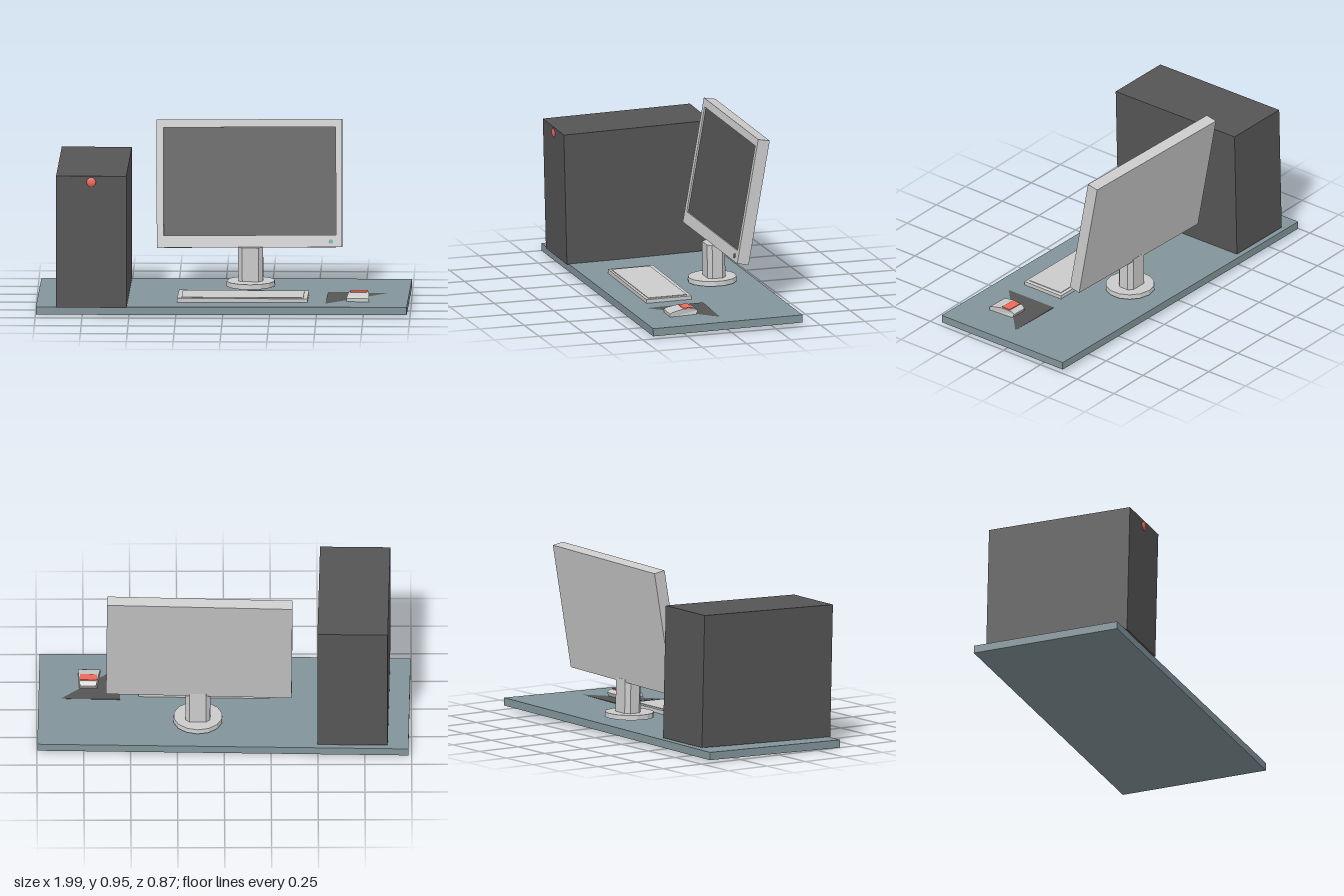
import * as THREE from 'three';

const material = (color) => new THREE.MeshStandardMaterial({ color, flatShading: true });
const GREY = material(0xcccccc);
const DARK = material(0x555555);
const DESK = material(0x82959b);
const RED = material(0xee6a5a);
const BLUE = material(0x6fa3b8);

// The whole desk set stands very slightly askew
const LEAN = [0.015, -0.018, 0.005];

function add(parent, name, geometry, mat, position, rotation = [0, 0, 0]) {
  const mesh = new THREE.Mesh(geometry, mat);
  mesh.name = name;
  mesh.position.set(...position);
  mesh.rotation.set(...rotation, 'YXZ');
  parent.add(mesh);
  return mesh;
}

function subgroup(parent, name, position, rotation = LEAN) {
  const group = new THREE.Group();
  group.name = name;
  group.position.set(...position);
  group.rotation.set(...rotation, 'YXZ');
  parent.add(group);
  return group;
}

const box = (w, h, d) => new THREE.BoxGeometry(w, h, d);

function polygon(points) {
  return new THREE.Shape(points.map(([x, y]) => new THREE.Vector2(x, y)));
}

function rectangle(x0, y0, x1, y1) {
  return polygon([[x0, y0], [x1, y0], [x1, y1], [x0, y1]]);
}

function extrude(shape, depth) {
  return new THREE.ExtrudeGeometry(shape, { depth, bevelEnabled: false });
}

// Computer case with a round power button
function buildTower(root) {
  const tower = subgroup(root, 'tower', [-0.693, 0.407, 0.013], [0.024, -0.02, 0]);
  add(tower, 'towerCase', box(0.375, 0.715, 0.822), DARK, [0, 0, 0]);
  const button = add(tower, 'powerButton', new THREE.SphereGeometry(0.025, 14, 8), RED, [0, 0.325, 0.411]);
  button.scale.z = 0.3;
}

// Tilted screen: back slab, bezel with opening, recessed panel
function buildMonitor(root) {
  const monitor = subgroup(root, 'monitor', [0.132, 0.6, -0.261], [-0.176, -0.028, 0.011]);
  const w = 0.495, h = 0.342;
  add(monitor, 'monitorBack', box(2 * w, 2 * h, 0.053), GREY, [0, 0, -0.006]);
  const bezel = rectangle(-w, -h, w, h);
  bezel.holes.push(rectangle(-0.458, -0.277, 0.462, 0.3));
  add(monitor, 'bezel', extrude(bezel, 0.012), GREY, [0, 0, 0.0205]);
  add(monitor, 'screen', box(0.92, 0.577, 0.004), DARK, [0.002, 0.0115, 0.022]);
  const button = new THREE.CylinderGeometry(0.012, 0.012, 0.008, 10).rotateX(Math.PI / 2);
  add(monitor, 'screenButton', button, BLUE, [0.435, -0.312, 0.034]);
}

// Round foot and chamfered neck
function buildStand(root) {
  const stand = subgroup(root, 'stand', [0.14, 0.052, -0.18]);
  add(stand, 'standPad', new THREE.CylinderGeometry(0.05, 0.05, 0.02, 12), GREY, [0, 0.01, 0]);
  add(stand, 'standBase', new THREE.CylinderGeometry(0.131, 0.133, 0.026, 14), GREY, [0, 0.024, 0]);
  const a = 0.066, b = 0.05, c = 0.022;
  const section = polygon([
    [-a, -b + c], [-a + c, -b], [a - c, -b], [a, -b + c],
    [a, b - c], [a - c, b], [-a + c, b], [-a, b - c],
  ]);
  add(stand, 'standNeck', extrude(section, 0.19).rotateX(-Math.PI / 2), GREY, [0, 0.03, -0.01]);
}

// Keyboard slab with a slightly raised key field
function buildKeyboard(root) {
  const keyboard = subgroup(root, 'keyboard', [0.105, 0.047, 0.16], [0.012, -0.022, 0]);
  add(keyboard, 'keyboardBody', box(0.695, 0.024, 0.252), GREY, [0, 0.012, 0]);
  add(keyboard, 'keyField', box(0.65, 0.008, 0.215), GREY, [0, 0.0235, 0.004], [0, 0.008, 0]);
}

// Mouse from a side profile, narrowed towards its back end
function buildMouse(root) {
  const mouse = subgroup(root, 'mouse', [0.722, 0.051, 0.195], [0.015, -0.04, 0.005]);
  const profile = polygon([
    [-0.075, 0], [0.075, 0], [0.085, 0.022], [0.065, 0.036], [0.0, 0.038], [-0.06, 0.026], [-0.075, 0.018],
  ]);
  const body = extrude(profile, 0.12).translate(0, 0, -0.06).rotateY(Math.PI / 2);
  const p = body.attributes.position;
  for (let i = 0; i < p.count; i++) {
    const back = Math.max(0, -p.getZ(i) - 0.03) / 0.055;
    const top = p.getY(i) > 0.03 ? 0.9 : 1;
    p.setX(i, p.getX(i) * top * (1 - 0.3 * back * back));
  }
  body.computeVertexNormals();
  add(mouse, 'mouseBody', body, GREY, [0, 0, 0]);
  add(mouse, 'mouseBand', box(0.09, 0.008, 0.052), RED, [0, 0.037, -0.028]);
}

export function createModel() {
  const root = new THREE.Group();
  root.name = 'computerDesk';

  add(root, 'deskTop', box(1.98, 0.042, 0.835), DESK, [0, 0.0305, 0], LEAN);
  buildTower(root);
  buildMonitor(root);
  buildStand(root);
  buildKeyboard(root);

  // Thin mat, tipped so that its front corner sinks into the desk
  add(root, 'mouseMat', box(0.35, 0.004, 0.345), DARK, [0.725, 0.0501, 0.19], [0.027, -0.03, -0.007]);
  buildMouse(root);
  return root;
}
